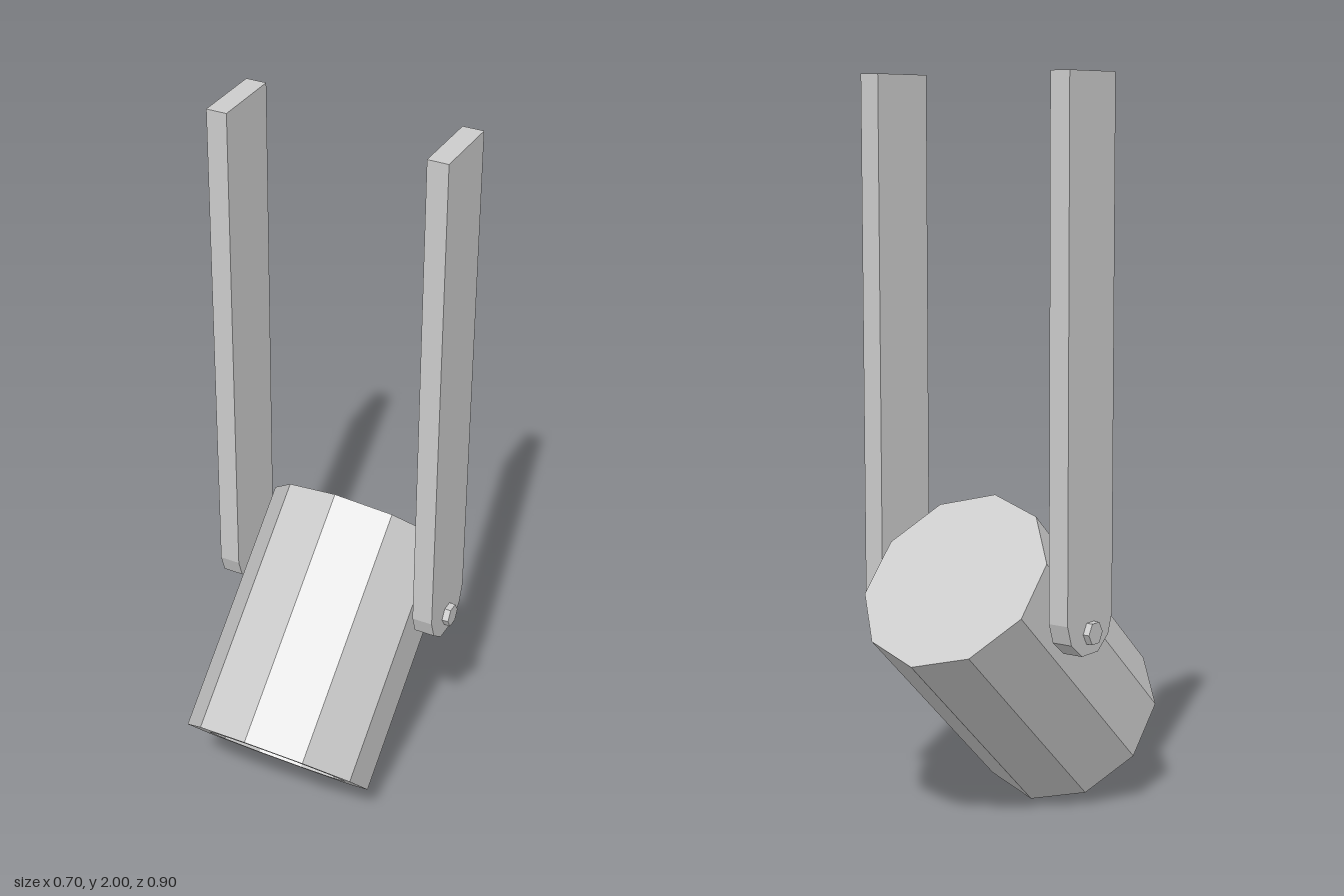
import * as THREE from 'three';

const grey = new THREE.MeshStandardMaterial({ color: 0xcccccc, flatShading: true });
const yellow = new THREE.MeshStandardMaterial({ color: 0xe6dc10, flatShading: true });

const SIDES = 10, RADIUS = 0.27, INNER = 0.206, HALF = 0.361, RECESS = 0.067;
const PIVOT_Y = 0.566, PIVOT_Z = -0.123;
const ARM_X = 0.304, ARM_T = 0.058, ARM_HALF = 0.103;

function add(parent, name, geometry, material = grey) {
  const mesh = new THREE.Mesh(geometry, material);
  mesh.name = name;
  parent.add(mesh);
  return mesh;
}

// Flat bar with a faceted round lower end, drawn in the z-y plane
function armGeometry() {
  const half = [[ARM_HALF, 2], [ARM_HALF, 0.6], [0.085, 0.547], [0.037, 0.509]];
  const outline = [
    ...half.map(([z, y]) => new THREE.Vector2(PIVOT_Z + z, y)),
    ...half.slice().reverse().map(([z, y]) => new THREE.Vector2(PIVOT_Z - z, y)),
  ];
  const geometry = new THREE.ExtrudeGeometry(new THREE.Shape(outline), { depth: ARM_T, bevelEnabled: false });
  return geometry.translate(0, 0, -ARM_T / 2).rotateY(-Math.PI / 2);
}

export function createModel() {
  const model = new THREE.Group();
  model.name = 'spotlight';

  // Tilted lamp head: ten-sided can with a recessed opening
  const head = new THREE.Group();
  head.name = 'lampHead';
  head.position.set(0, 0.447, 0);
  head.rotation.x = -0.83;
  model.add(head);

  const profile = [
    [INNER, -HALF + RECESS], [INNER, -HALF], [RADIUS, -HALF], [RADIUS, HALF], [0, HALF],
  ].map(([x, y]) => new THREE.Vector2(x, y));
  add(head, 'housing', new THREE.LatheGeometry(profile, SIDES));

  const lens = new THREE.CircleGeometry(INNER, SIDES, Math.PI / 2).rotateX(Math.PI / 2);
  add(head, 'lens', lens, yellow).position.y = -HALF + RECESS;

  // Hanging arms and the hexagonal pivot pins through them
  for (const [side, s] of [['left', 1], ['right', -1]]) {
    add(model, side + 'Arm', armGeometry()).position.x = s * ARM_X;

    const pin = new THREE.CylinderGeometry(0.032, 0.032, 0.112, 6).rotateZ(Math.PI / 2);
    add(model, side + 'PivotPin', pin).position.set(s * 0.295, PIVOT_Y, PIVOT_Z);
  }

  return model;
}
